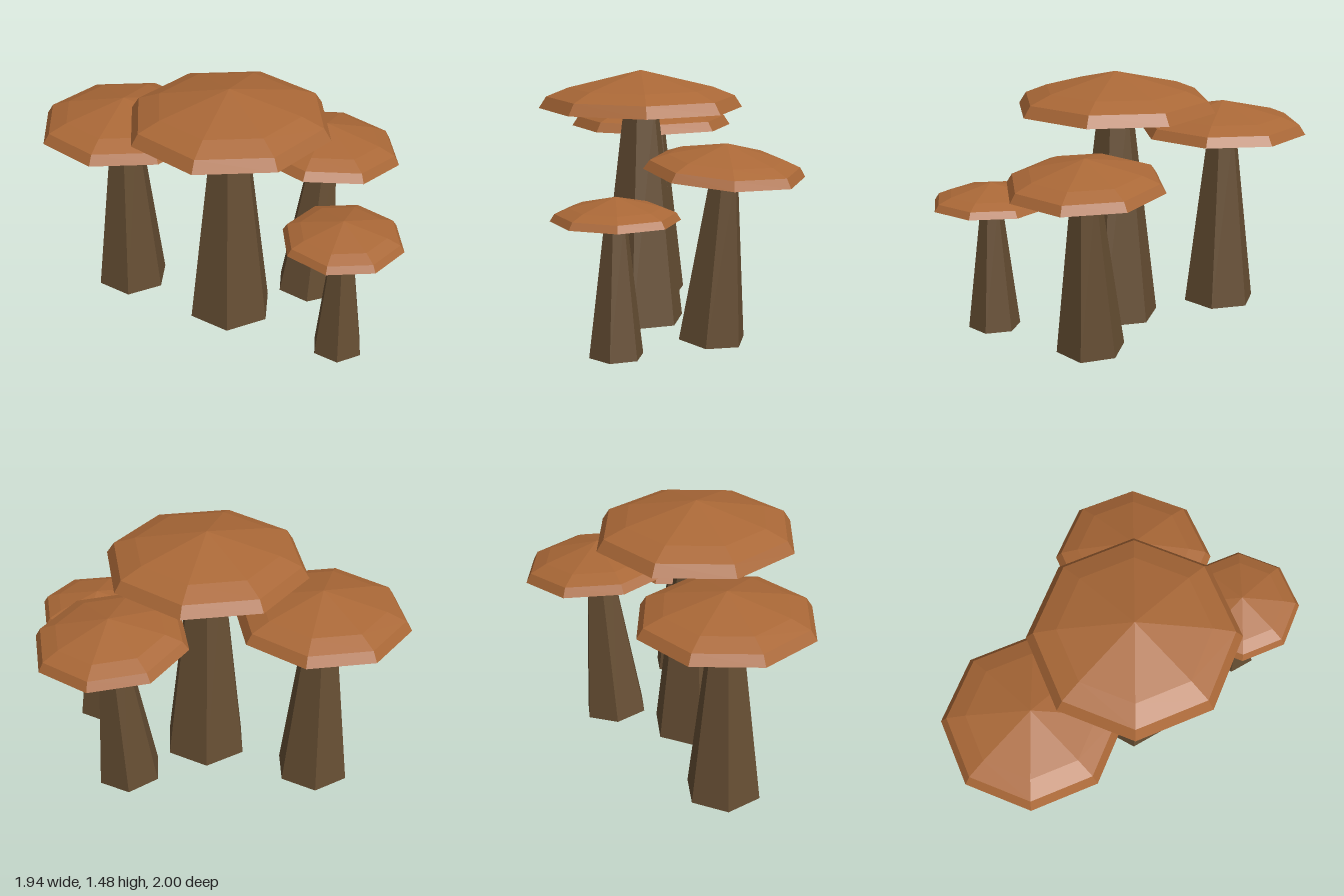
import * as THREE from 'three';

const capMaterial = new THREE.MeshStandardMaterial({ name: 'capBrown', color: 0xaa6837, flatShading: true });
const stemMaterial = new THREE.MeshStandardMaterial({
  name: 'stemBrown', color: 0x664e33, flatShading: true, side: THREE.DoubleSide,
});

const STEM_HEIGHT = 1.235;

// Eight-sided cap with a flat underside, bevelled rim and low peak
const capProfile = [[0, 0], [0.577, 0], [0.535, 0.065], [0.41, 0.115], [0, 0.212]];
const capGeometry = new THREE.LatheGeometry(capProfile.map(([r, y]) => new THREE.Vector2(r, y)), 8);
capGeometry.translate(0, STEM_HEIGHT, 0);

// Six-sided tapering stem, hollow and open at the foot
const stemGeometry = new THREE.CylinderGeometry(0.102, 0.253, STEM_HEIGHT, 6, 1, true, Math.PI / 2);
stemGeometry.translate(0, STEM_HEIGHT / 2, 0);

function createMushroom(name, [x, y, z], scale, tilt = 0) {
  const mushroom = new THREE.Group();
  mushroom.name = name;
  const stem = new THREE.Mesh(stemGeometry, stemMaterial);
  stem.name = 'stem';
  const cap = new THREE.Mesh(capGeometry, capMaterial);
  cap.name = 'cap';
  mushroom.add(stem, cap);
  mushroom.position.set(x, y, z);
  mushroom.scale.setScalar(scale);
  mushroom.rotation.z = tilt;
  return mushroom;
}

export function createModel() {
  const model = new THREE.Group();
  model.name = 'mushroomCluster';
  model.add(
    createMushroom('tallMushroom', [-0.08, 0.035, 0.037], 1),
    createMushroom('rearMushroom', [-0.485, 0.035, -0.508], 0.85),
    createMushroom('leaningMushroom', [0.447, 0.02, 0.037], 0.765, -0.0855),
    createMushroom('smallMushroom', [0.302, 0.035, 0.657], 0.59),
  );
  return model;
}
